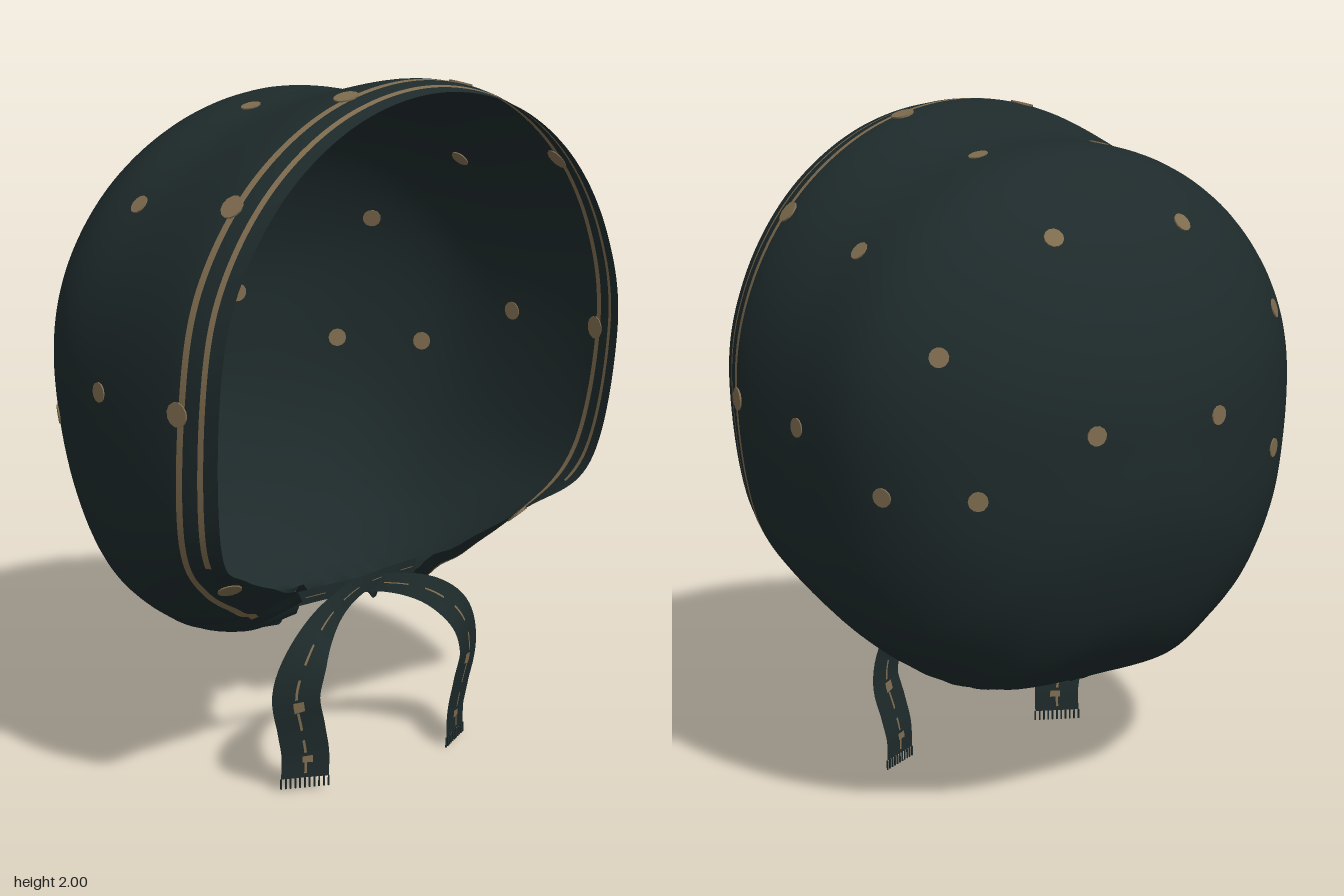
import * as THREE from 'three';

const V = (x, y, z) => new THREE.Vector3(x, y, z);
const cloth = new THREE.MeshStandardMaterial({ color: 0x1e2a2b, side: THREE.DoubleSide });
cloth.name = 'dark cloth';
const tan = new THREE.MeshStandardMaterial({ color: 0x7f6c4f, side: THREE.DoubleSide });
tan.name = 'tan print';

// Meridians of one half, running from the back of the head to the hem
const POLE = V(0, 1.2, -0.577);
const CROWN = [[0, 1.5, -.52], [0, 1.76, -.365], [0, 1.915, -.15], [0, 1.935, .12], [0, 2.0, .41], [0, 1.98, .57]];
const EAR = [[.32, 1.22, -.52], [.575, 1.22, -.375], [.735, 1.22, -.17], [.775, 1.22, .12], [.778, 1.22, .40], [.735, 1.22, .555]];
// rounded steps between crown and ear
const SHOULDERS = [1, 2, 3].map(i => {
  const a = i * Math.PI / 8, s = Math.sin(a), c = Math.cos(a);
  return EAR.map((e, j) => [e[0] * s, 1.22 + (CROWN[j][1] - 1.22) * c, e[2] * s * s + CROWN[j][2] * c * c]);
});
const MERIDIANS = [
  CROWN, ...SHOULDERS, EAR,
  [[.29, 1.06, -.525], [.54, .94, -.39], [.68, .86, -.18], [.745, .82, .1], [.745, .83, .35], [.69, .82, .505]],  // jaw
  [[.22, .98, -.54], [.43, .77, -.415], [.57, .62, -.2], [.625, .59, .05], [.60, .62, .27], [.52, .68, .40]],     // cheek
  [[.15, .93, -.55], [.30, .67, -.425], [.41, .49, -.23], [.43, .43, -.02], [.34, .45, .16], [.21, .53, .26]],    // tie corner
  [[.08, .92, -.557], [.16, .645, -.447], [.24, .45, -.29], [.27, .39, -.15], [.23, .385, -.03], [.17, .41, .08]],
  [[0, .92, -.56], [0, .64, -.455], [0, .45, -.305], [0, .39, -.2], [0, .38, -.14], [0, .41, -.07]],              // nape
];
const LAST = MERIDIANS.length - 1, KEYS = 2 * LAST, PER_KEY = 14, COLS = KEYS * PER_KEY;
// Two printed lines follow the hem; each stops at its own meridian
const LINES = [{ from: 5.17, to: 5.29, end: 6.9 }, { from: 5.59, to: 5.71, end: 5.3 }];

function buildShell() {
  const mirrored = MERIDIANS.slice(1, LAST).reverse().map(m => m.map(([x, y, z]) => [-x, y, z]));
  const curves = [...MERIDIANS, ...mirrored].map(m => {
    const pts = m.map(p => V(...p));
    // a reflected point ahead of the pole keeps the back rounded
    const before = V(-pts[0].x, 2 * POLE.y - pts[0].y, pts[0].z);
    return new THREE.CatmullRomCurve3([before, POLE, ...pts], false, 'catmullrom', 0.5);
  });
  const rows = [];
  for (let i = 0; i <= 42; i++) rows.push(i * 5.05 / 42);
  for (const l of LINES) rows.push(l.from, l.to, l.to + 0.15);
  rows.push(6);

  const pos = [], dark = [], light = [];
  for (const v of rows) {
    const ring = new THREE.CatmullRomCurve3(curves.map(c => c.getPoint((v + 1) / 7)), true, 'catmullrom', 0.5);
    for (let i = 0; i < COLS; i++) {
      const p = ring.getPoint(i / COLS);
      // gathers pucker the neck
      const k = i / PER_KEY, half = Math.min(k, KEYS - k);
      const pucker = THREE.MathUtils.smoothstep(half, 6.2, 7.8) * THREE.MathUtils.smoothstep(v, 3.4, 6);
      p.y += 0.026 * pucker * Math.sin(half * 16);
      pos.push(p.x, p.y, p.z);
    }
  }
  for (let r = 0; r < rows.length - 1; r++) {
    const line = LINES.find(l => l.from === rows[r]);
    for (let i = 0; i < COLS; i++) {
      const half = Math.min(i, COLS - i) / PER_KEY;
      const a = r * COLS + i, c = r * COLS + (i + 1) % COLS, b = a + COLS, d = c + COLS;
      (line && half < line.end ? light : dark).push(a, b, d, a, d, c);
    }
  }
  const g = new THREE.BufferGeometry();
  g.setAttribute('position', new THREE.Float32BufferAttribute(pos, 3));
  g.setIndex([...dark, ...light]);
  g.addGroup(0, dark.length, 0);
  g.addGroup(dark.length, light.length, 1);
  g.computeVertexNormals();
  const mesh = new THREE.Mesh(g, [cloth, tan]);
  mesh.name = 'bonnetShell';
  return mesh;
}

// Thin dot lying on the nearest spot of the shell, showing inside and out
function addDot(group, shell, target, radius) {
  const p = shell.geometry.attributes.position, n = shell.geometry.attributes.normal;
  const q = V(0, 0, 0);
  let best = 0, bestD = Infinity;
  for (let i = COLS; i < p.count; i++) {
    const d = q.fromBufferAttribute(p, i).distanceToSquared(target);
    if (d < bestD) { bestD = d; best = i; }
  }
  const normal = V(0, 0, 0).fromBufferAttribute(n, best);
  q.fromBufferAttribute(p, best);
  const dot = new THREE.Mesh(new THREE.CylinderGeometry(radius, radius, 0.007, 12), tan);
  dot.position.copy(target).addScaledVector(normal, -target.clone().sub(q).dot(normal));
  dot.quaternion.setFromUnitVectors(V(0, 1, 0), normal);
  dot.name = 'printedDot';
  group.add(dot);
}

// Ribbon path: crosses under the chin, then hangs
const TIE = new THREE.CatmullRomCurve3([
  V(-.22, .525, .25), V(-.1, .535, .28), V(.06, .53, .31), V(.2, .485, .35),
  V(.295, .4, .375), V(.335, .29, .37), V(.312, .18, .365), V(.295, .1, .362), V(.295, .03, .36)]);
const tieWidth = t => 0.022 + 0.04 * THREE.MathUtils.smoothstep(t, 0.15, 0.6);
function tiePoint(t, across, lift) {
  const p = TIE.getPoint(t), d = TIE.getTangent(t);
  const w = V(-d.y, d.x, 0).normalize();
  w.z = -0.5 * w.x;
  return p.addScaledVector(w, across * tieWidth(t)).add(V(lift * .4, 0, lift));
}
function strip(t0, t1, from, to, lift, mat, name) {
  const n = Math.max(2, Math.ceil((t1 - t0) * 48)), pos = [], idx = [];
  for (let i = 0; i <= n; i++) {
    const t = t0 + (t1 - t0) * i / n;
    for (const a of [from, to]) pos.push(...tiePoint(t, a, lift).toArray());
    if (i < n) idx.push(2 * i, 2 * i + 2, 2 * i + 1, 2 * i + 1, 2 * i + 2, 2 * i + 3);
  }
  const g = new THREE.BufferGeometry();
  g.setAttribute('position', new THREE.Float32BufferAttribute(pos, 3));
  g.setIndex(idx);
  g.computeVertexNormals();
  const mesh = new THREE.Mesh(g, mat);
  mesh.name = name;
  return mesh;
}
function buildTie() {
  const tie = new THREE.Group();
  tie.add(strip(0, 1, -1, 1, 0, cloth, 'ribbon'));
  // broken printed lines and spots on both faces
  for (const lift of [-.004, .004]) {
    for (let i = 0; i < 9; i++) tie.add(strip(i / 9 + .02, i / 9 + .085, -.05, .06, lift, tan, 'ribbonStitch'));
    for (const t of [.65, .88]) tie.add(strip(t, t + .035, -.3, .15, lift, tan, 'ribbonSpot'));
  }
  // frayed end
  for (let i = 0; i <= 10; i++) {
    const thread = new THREE.Mesh(new THREE.BoxGeometry(0.004, 0.03, 0.004), cloth);
    thread.position.copy(tiePoint(1, -1 + i * 0.2, 0));
    thread.position.y = 0.015;
    thread.name = 'fringeThread';
    tie.add(thread);
  }
  return tie;
}

export function createModel() {
  const model = new THREE.Group();
  model.name = 'bonnet';
  const shell = buildShell();
  model.add(shell);

  // Printed dots, mirrored, with larger scallops on the inner hem line
  const dots = new THREE.Group();
  dots.name = 'printedDots';
  const spots = [[.21, 1.92, .03], [.6, 1.68, .03], [.78, 1.19, .08], [.215, 1.73, -.36], [.565, 1.44, -.335],
    [.205, 1.22, -.55], [.5, 1.055, -.42], [.69, 1.05, -.235]];
  const scallops = [[.21, 1.98, .435], [.6, 1.73, .435], [.78, 1.2, .43], [.54, .665, .34]];
  for (const s of [1, -1]) {
    for (const [x, y, z] of spots) addDot(dots, shell, V(s * x, y, z), 0.028);
    for (const [x, y, z] of scallops) addDot(dots, shell, V(s * x, y, z), 0.034);
  }
  model.add(dots);

  // Crossed ties
  const leftTie = buildTie();
  leftTie.name = 'leftTie';
  const rightTie = buildTie();
  rightTie.name = 'rightTie';
  rightTie.scale.x = -1;
  rightTie.position.set(0, 0.012, 0.012);
  model.add(leftTie, rightTie);
  return model;
}
